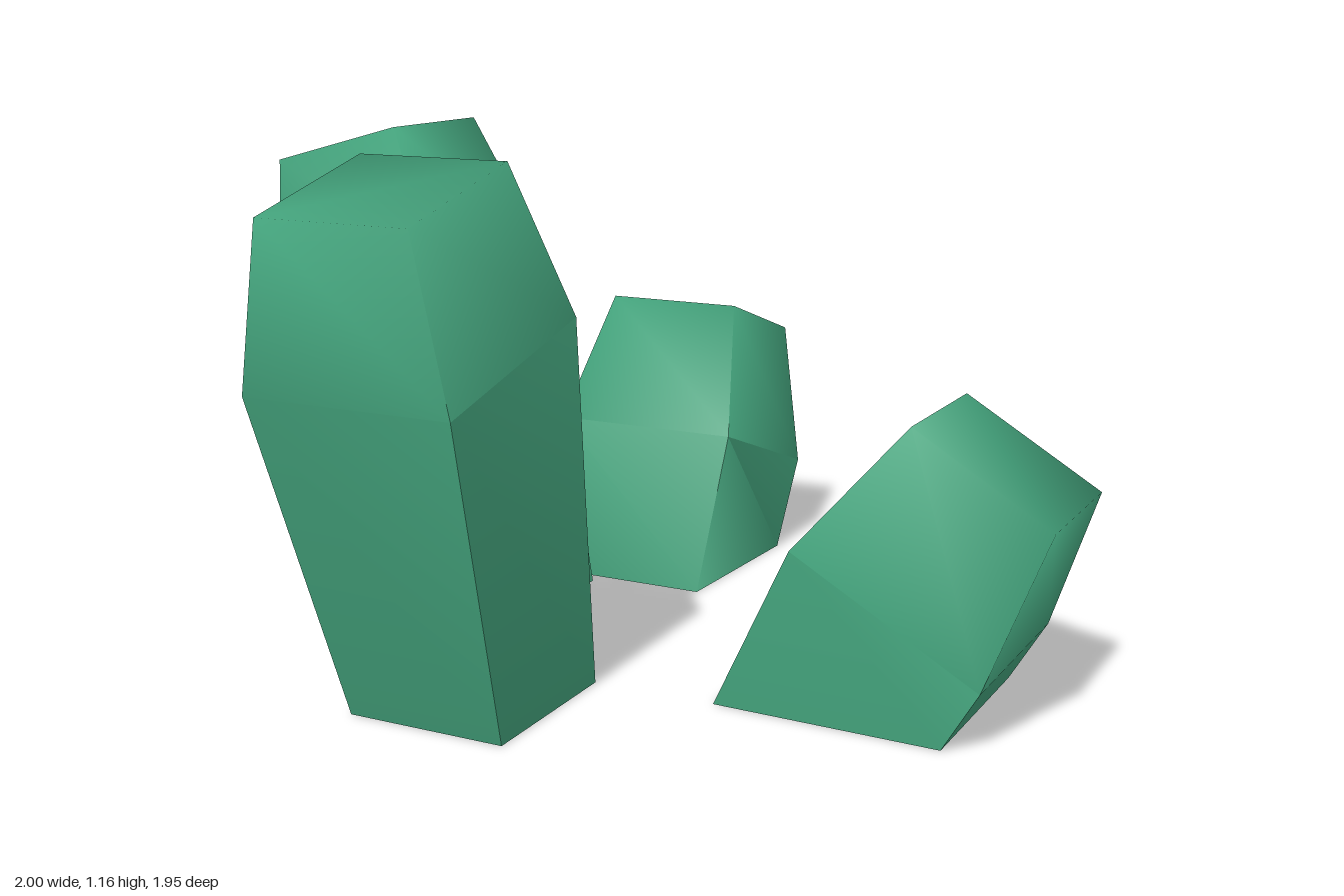
import * as THREE from 'three';
import { toCreasedNormals } from 'three/addons/utils/BufferGeometryUtils.js';

const green = new THREE.MeshStandardMaterial({ color: 0x44a47d, side: THREE.DoubleSide });
green.name = 'crystalGreen';

// One leaning crystal: local +x is the lean direction, local z the width.
// Each ring is [inner x, inner y, inner half width, outer x, outer y, outer half width].
function crystal(name, turn, midZ, rings) {
  const pos = [];
  const index = [];
  for (const [xi, yi, wi, xo, yo, wo] of rings) {
    pos.push(xi, yi, midZ - wi, xo, yo, midZ - wo, xo, yo, midZ + wo, xi, yi, midZ + wi);
  }
  // side walls, the base stays open
  for (let r = 0; r < rings.length - 1; r++) {
    for (let k = 0; k < 4; k++) {
      const a = r * 4 + k, b = r * 4 + (k + 1) % 4;
      index.push(a, a + 4, b + 4, a, b + 4, b);
    }
  }
  // slanted cap
  const t = (rings.length - 1) * 4;
  index.push(t + 3, t + 2, t, t + 2, t + 1, t);

  const geo = new THREE.BufferGeometry();
  geo.setAttribute('position', new THREE.Float32BufferAttribute(pos, 3));
  geo.setIndex(index);
  // soft crown, sharp long edges on the shaft
  const mesh = new THREE.Mesh(toCreasedNormals(geo, THREE.MathUtils.degToRad(89.2)), green);
  mesh.name = name;
  mesh.rotation.y = turn * Math.PI / 2 - 0.14;
  return mesh;
}

export function createModel() {
  const group = new THREE.Group();
  group.name = 'crystalCluster';
  group.add(
    crystal('rightTallCrystal', 2, 0.10, [
      [0.345, 0, 0.187, 0.735, 0, 0.187],
      [0.51, 0.84, 0.236, 0.965, 0.72, 0.236],
      [0.665, 1.16, 0.172, 1.0, 1.07, 0.172],
    ]),
    crystal('frontTallCrystal', 3, 0.173, [
      [0.332, 0, 0.18, 0.725, 0, 0.184],
      [0.5, 0.84, 0.237, 0.96, 0.72, 0.237],
      [0.645, 1.16, 0.172, 0.982, 1.07, 0.172],
    ]),
    crystal('leftShortCrystal', 0, 0.12, [
      [0.29, 0, 0.209, 0.80, 0, 0.226],
      [0.47, 0.37, 0.237, 0.88, 0.135, 0.237],
      [0.70, 0.64, 0.172, 0.998, 0.46, 0.172],
    ]),
    crystal('backShortCrystal', 1, -0.272, [
      [0.326, 0, 0.202, 0.78, 0, 0.221],
      [0.43, 0.38, 0.237, 0.876, 0.22, 0.237],
      [0.597, 0.68, 0.172, 0.926, 0.57, 0.172],
    ]),
  );
  return group;
}
